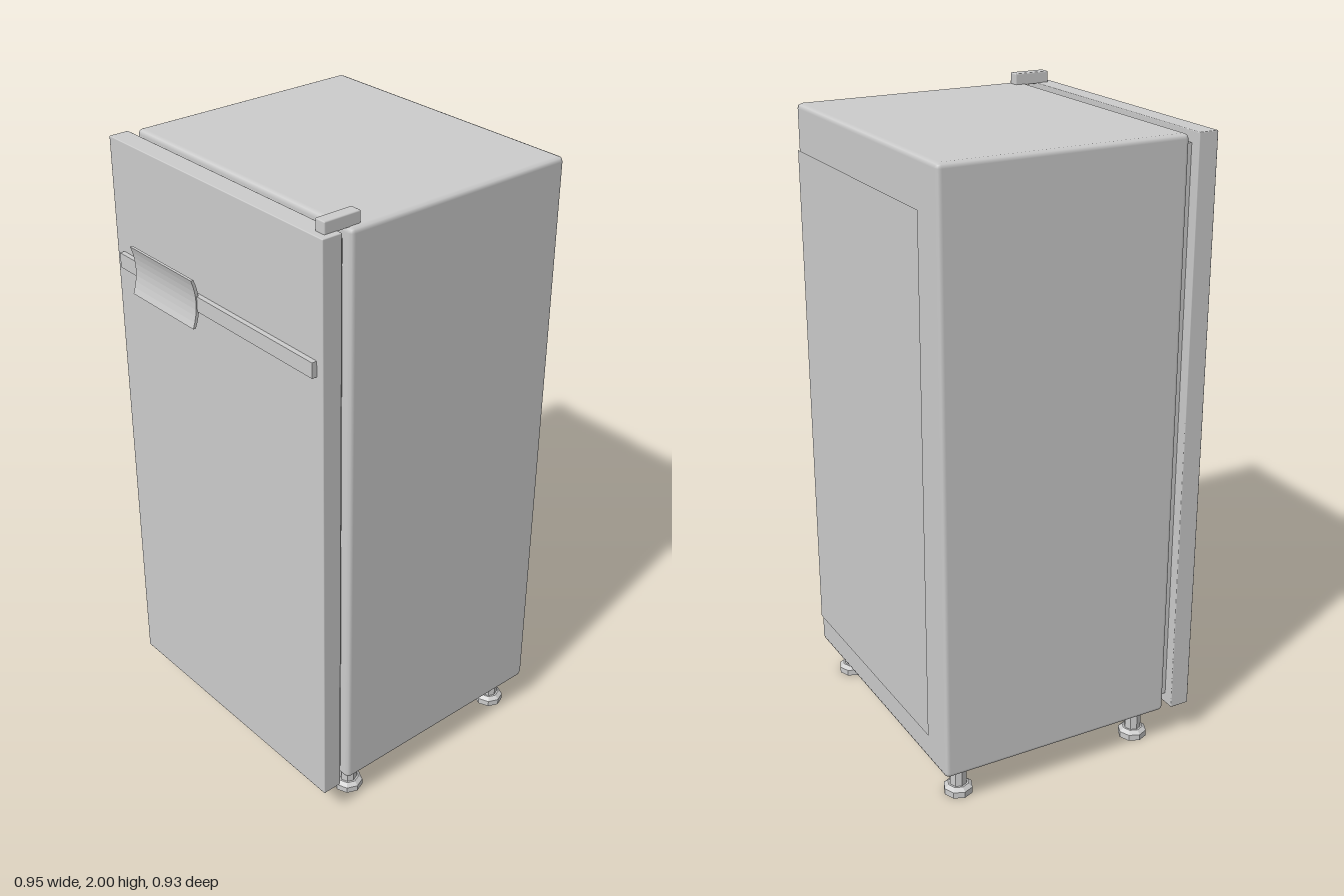
import * as THREE from 'three';
import { RoundedBoxGeometry } from 'three/addons/geometries/RoundedBoxGeometry.js';

export function createModel() {
  const group = new THREE.Group();
  const grey = new THREE.MeshStandardMaterial({ color: 0xcccccc });
  grey.name = 'lightGrey';

  function add(name, geometry, x = 0, y = 0, z = 0) {
    const mesh = new THREE.Mesh(geometry, grey);
    mesh.name = name;
    mesh.position.set(x, y, z);
    group.add(mesh);
    return mesh;
  }

  // Box given by its limits on each axis
  function addBox(name, [x0, x1], [y0, y1], [z0, z1], bevel = 0) {
    const size = [x1 - x0, y1 - y0, z1 - z0];
    const geometry = bevel
      ? new RoundedBoxGeometry(...size, 1, bevel)
      : new THREE.BoxGeometry(...size);
    return add(name, geometry, (x0 + x1) / 2, (y0 + y1) / 2, (z0 + z1) / 2);
  }

  // Cabinet, door seal and door
  addBox('cabinet', [-0.475, 0.475], [0.11, 1.965], [-0.44, 0.34], 0.015);
  addBox('doorSeal', [-0.44, 0.44], [0.145, 1.93], [0.335, 0.375]);
  addBox('door', [-0.475, 0.475], [0.11, 1.965], [0.37, 0.434], 0.003);

  // Trim strip across the door and the hinge cap on top
  addBox('trimStrip', [-0.44, 0.45], [1.57, 1.617], [0.43, 0.45]);
  addBox('hinge', [0.42, 0.457], [1.962, 2], [0.293, 0.413], 0.004);

  // Handle: shallow concave plate, extruded sideways
  const profile = new THREE.Shape();
  profile.moveTo(0.467, 1.67);
  profile.quadraticCurveTo(0.439, 1.595, 0.467, 1.52);
  profile.lineTo(0.458, 1.52);
  profile.quadraticCurveTo(0.427, 1.595, 0.458, 1.67);
  const handle = new THREE.ExtrudeGeometry(profile, { depth: 0.3, bevelEnabled: false, curveSegments: 8 });
  handle.rotateY(-Math.PI / 2);
  add('handle', handle, -0.055);

  // Single-faced rear panel standing just off the back
  const panel = new THREE.PlaneGeometry(0.82, 1.6);
  panel.rotateY(Math.PI);
  add('rearPanel', panel, 0, 1.035, -0.465);

  // Four faceted levelling feet
  const footProfile = [[0, 0], [0.046, 0], [0.046, 0.02], [0.033, 0.031], [0.027, 0.031], [0.027, 0.115]]
    .map(([r, y]) => new THREE.Vector2(r, y));
  const lathe = new THREE.LatheGeometry(footProfile, 8).toNonIndexed();
  lathe.computeVertexNormals();
  for (const x of [-0.4, 0.4]) {
    for (const z of [-0.363, 0.273]) add('foot', lathe, x, 0, z);
  }

  return group;
}
